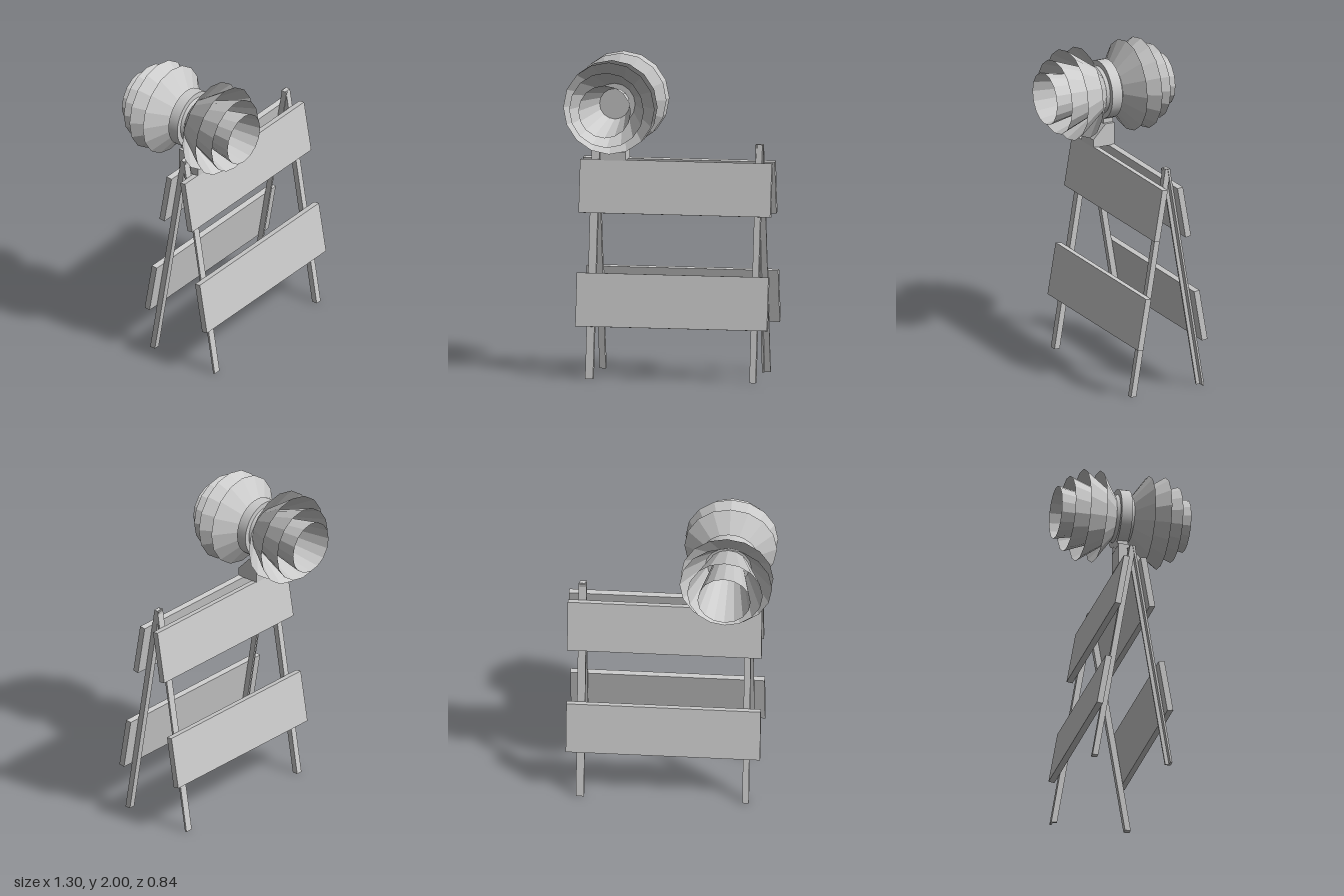
import * as THREE from 'three';

const grey = new THREE.MeshStandardMaterial({ color: 0xcccccc, flatShading: true });
const thin = new THREE.MeshStandardMaterial({ color: 0xcccccc, flatShading: true, side: THREE.DoubleSide });
const smooth = new THREE.MeshStandardMaterial({ color: 0xcccccc });

function add(parent, name, geometry, material = grey) {
  const mesh = new THREE.Mesh(geometry, material);
  mesh.name = name;
  parent.add(mesh);
  return mesh;
}

// Prism with a side outline of [z, y] points, running from x0 to x1
function prism(points, x0, x1) {
  const shape = new THREE.Shape(points.map(([z, y]) => new THREE.Vector2(z, y)));
  const geometry = new THREE.ExtrudeGeometry(shape, { depth: x1 - x0, bevelEnabled: false });
  return geometry.rotateY(-Math.PI / 2).translate(x1, 0, 0);
}

// One leaning panel: two boards on two legs
function createPanel(name) {
  const panel = new THREE.Group();
  panel.name = name;
  const board = (dz, dy) => [
    [0.115 + dz, 1.365 + dy], [0.077 + dz, 1.36 + dy],
    [0.134 + dz, 1.027 + dy], [0.172 + dz, 1.033 + dy]];
  add(panel, 'upperBoard', prism(board(0, 0), -0.57, 0.65));
  add(panel, 'lowerBoard', prism(board(0.117, -0.703), -0.57, 0.65));

  // Leaning strip between two depths measured at the foot
  const strip = (outer, inner) => [
    [outer, 0], [inner, 0], [inner - 0.243, 1.47], [outer - 0.243, 1.475]];
  add(panel, 'squareLeg', prism(strip(0.3, 0.263), 0.54, 0.58));
  // Angle-section leg made of two flanges
  add(panel, 'angleLegFace', prism(strip(0.3, 0.287), -0.505, -0.455));
  add(panel, 'angleLegFlange', prism(strip(0.287, 0.263), -0.468, -0.455));
  return panel;
}

// Nested flared hoods, opening towards +z
function createHoods(name) {
  const hoods = new THREE.Group();
  hoods.name = name;
  const z0 = 0.056;
  // [rear radius, front radius, front z]
  const flares = [
    [0.145, 0.291, 0.157], [0.147, 0.291, 0.262],
    [0.13, 0.238, 0.348], [0.096, 0.167, 0.418]];
  for (const [r0, r1, z1] of flares) {
    const cone = new THREE.CylinderGeometry(r1, r0, z1 - z0, 16, 1, true);
    add(hoods, 'hood', cone.rotateX(Math.PI / 2).translate(0, 0, (z0 + z1) / 2), thin);
  }
  return hoods;
}

export function createModel() {
  const model = new THREE.Group();
  model.name = 'barricade';

  // A-frame: the rear panel is the front one turned half round
  model.add(createPanel('frontPanel'));
  const rear = createPanel('rearPanel');
  rear.rotation.y = Math.PI;
  rear.position.set(0.08, 0, 0.085);
  model.add(rear);

  // Bracket that carries the lamp
  add(model, 'lampBracket', prism(
    [[0.03, 1.505], [-0.033, 1.505], [-0.033, 1.36], [0.117, 1.36], [0.117, 1.412]], -0.44, -0.28));

  // Lamp: hub, band and two sets of hoods
  const lamp = new THREE.Group();
  lamp.name = 'lamp';
  lamp.position.set(-0.36, 1.71, 0);
  const stem = add(lamp, 'lampStem', new THREE.BoxGeometry(0.12, 0.06, 0.068));
  stem.position.y = -0.185;
  add(lamp, 'lampBand', new THREE.CylinderGeometry(0.186, 0.186, 0.07, 32).rotateX(Math.PI / 2), smooth);
  for (const side of [0, Math.PI]) {
    const hub = new THREE.CylinderGeometry(0.147, 0.162, 0.057, 32).rotateX(Math.PI / 2);
    add(lamp, 'lampHub', hub.translate(0, 0, 0.0285), smooth).rotation.y = side;
    const hoods = createHoods(side ? 'rearHoods' : 'frontHoods');
    hoods.rotation.y = side;
    lamp.add(hoods);
  }
  model.add(lamp);
  return model;
}
